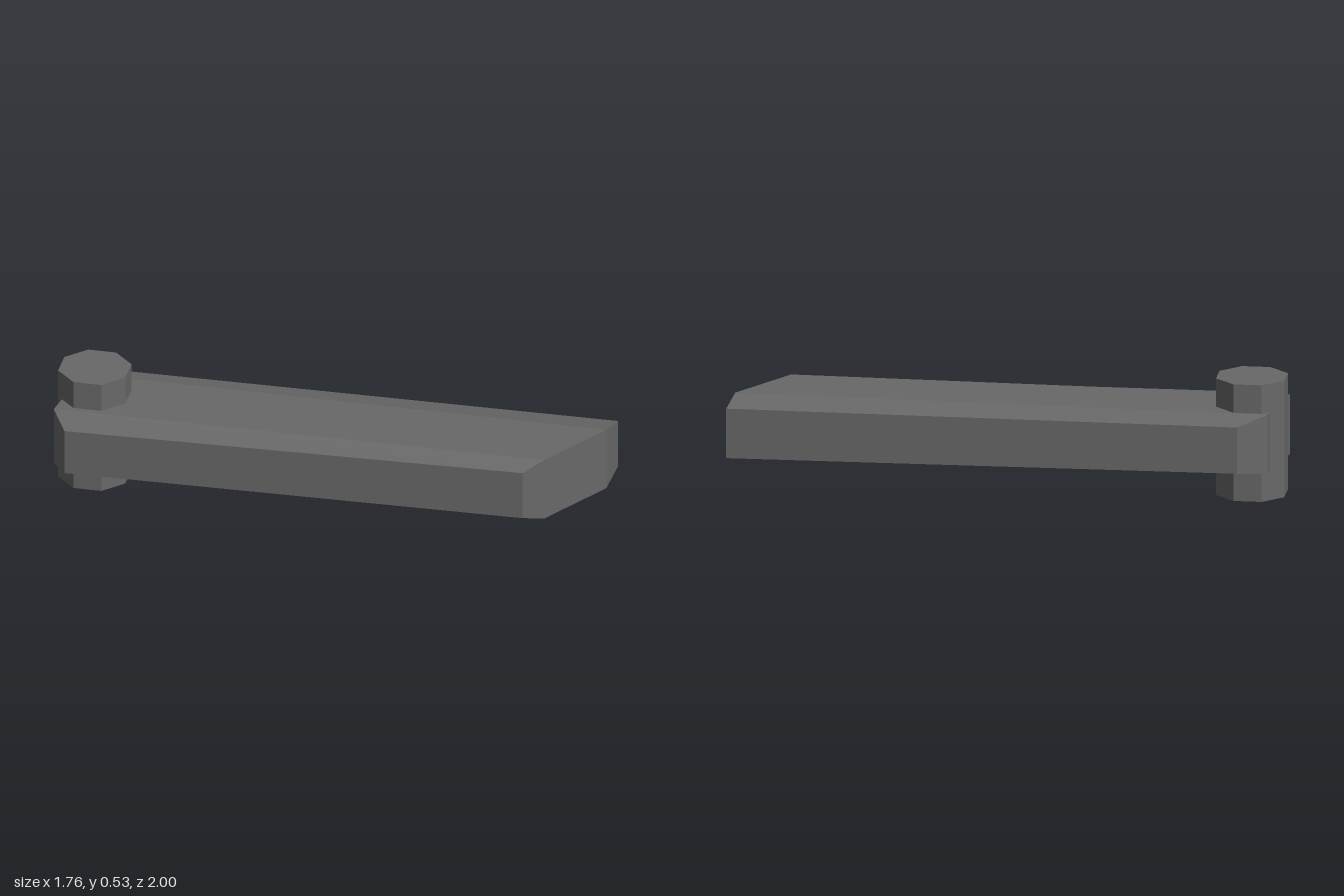
import * as THREE from 'three';

// Cross-section loop at one end, from four plan points (outer left, inner left,
// inner right, outer right) and the heights of the side and top/bottom edges.
function section([ol, il, ir, or], sideLow, sideHigh, bottom, top) {
  const at = ([x, z], y) => [x, y, z];
  return [
    at(ol, sideLow), at(ol, sideHigh), at(il, top), at(ir, top),
    at(or, sideHigh), at(or, sideLow), at(ir, bottom), at(il, bottom),
  ];
}

// Faceted bar lofted between two sections, with folded end faces.
function barGeometry(far, near) {
  const positions = [];
  const quad = (a, b, c, d) => positions.push(...a, ...b, ...c, ...a, ...c, ...d);
  for (let i = 0; i < 8; i++) {
    const j = (i + 1) % 8;
    quad(near[i], near[j], far[j], far[i]);
  }
  for (const [a, b, c, d] of [[0, 7, 2, 1], [7, 6, 3, 2], [6, 5, 4, 3]]) {
    quad(near[a], near[b], near[c], near[d]);
    quad(far[d], far[c], far[b], far[a]);
  }
  const geometry = new THREE.BufferGeometry();
  geometry.setAttribute('position', new THREE.Float32BufferAttribute(positions, 3));
  geometry.computeVertexNormals();
  return geometry;
}

export function createModel() {
  const group = new THREE.Group();
  group.name = 'pinnedBar';
  const darkGrey = new THREE.MeshStandardMaterial({ color: 0x686868, flatShading: true });
  darkGrey.name = 'dark grey';

  // Long bevelled bar running diagonally
  const far = section([[-0.88, -0.73], [-0.81, -0.865], [-0.49, -1.0], [-0.33, -0.96]], 0.16, 0.37, 0.13, 0.40);
  const near = section([[0.25, 0.975], [0.36, 1.0], [0.745, 1.0], [0.88, 0.94]], 0.155, 0.38, 0.12, 0.413);
  const bar = new THREE.Mesh(barGeometry(far, near), darkGrey);
  bar.name = 'bar';
  group.add(bar);

  // Eight-sided upright pin through the back end
  const pin = new THREE.Mesh(new THREE.CylinderGeometry(0.163, 0.163, 0.53, 8, 1, false, 0.17), darkGrey);
  pin.name = 'pin';
  pin.position.set(-0.582, 0.265, -0.838);
  group.add(pin);

  return group;
}
